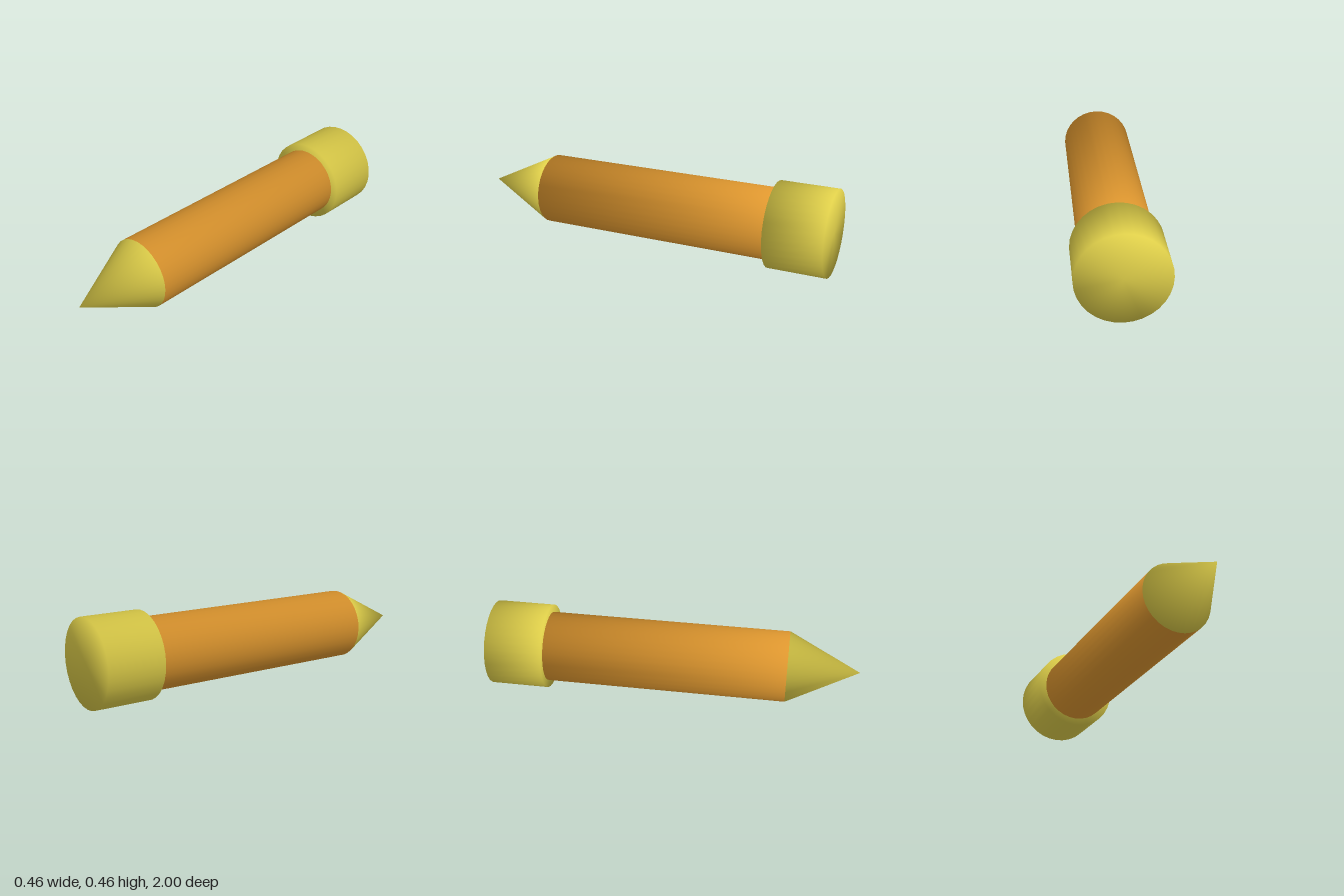
import * as THREE from 'three';

const SIDES = 32;
const CENTRE_Y = 0.23;
const YELLOW = 0xe0d04a;
const ORANGE = 0xe0982f;

// Closed solid of revolution along z. The profile runs back to front as [radius, z];
// normals are blended evenly across the rims, so sides and caps shade as one surface.
function turned(name, color, profile) {
  const points = profile.map(([r, z]) => new THREE.Vector2(r, z));
  const geometry = new THREE.LatheGeometry(points, SIDES);

  const segmentNormals = points.slice(1).map((p, i) => {
    const d = p.clone().sub(points[i]);
    return new THREE.Vector2(d.y, -d.x).normalize();
  });
  const last = points.length - 1;
  const pointNormals = points.map((p, i) => {
    if (i === 0) return new THREE.Vector2(0, -1);
    if (i === last) return new THREE.Vector2(0, 1);
    return segmentNormals[i - 1].clone().add(segmentNormals[i]).normalize();
  });

  const normal = geometry.attributes.normal;
  for (let v = 0; v < normal.count; v++) {
    const n = pointNormals[v % points.length];
    const angle = Math.floor(v / points.length) * Math.PI * 2 / SIDES;
    normal.setXYZ(v, n.x * Math.sin(angle), n.y, n.x * Math.cos(angle));
  }
  geometry.rotateX(Math.PI / 2);

  const mesh = new THREE.Mesh(geometry, new THREE.MeshStandardMaterial({ color }));
  mesh.name = name;
  mesh.position.y = CENTRE_Y;
  return mesh;
}

export function createModel() {
  const model = new THREE.Group();
  model.name = 'pointedRod';

  // Wide end cap at the back, long shaft, pointed tip at the front
  model.add(
    turned('endCap', YELLOW, [[0, -1], [0.23, -1], [0.23, -0.69], [0, -0.69]]),
    turned('shaft', ORANGE, [[0, -0.69], [0.19, -0.69], [0.19, 0.615], [0, 0.615]]),
    turned('tip', YELLOW, [[0, 0.615], [0.19, 0.615], [0, 1]])
  );
  return model;
}
